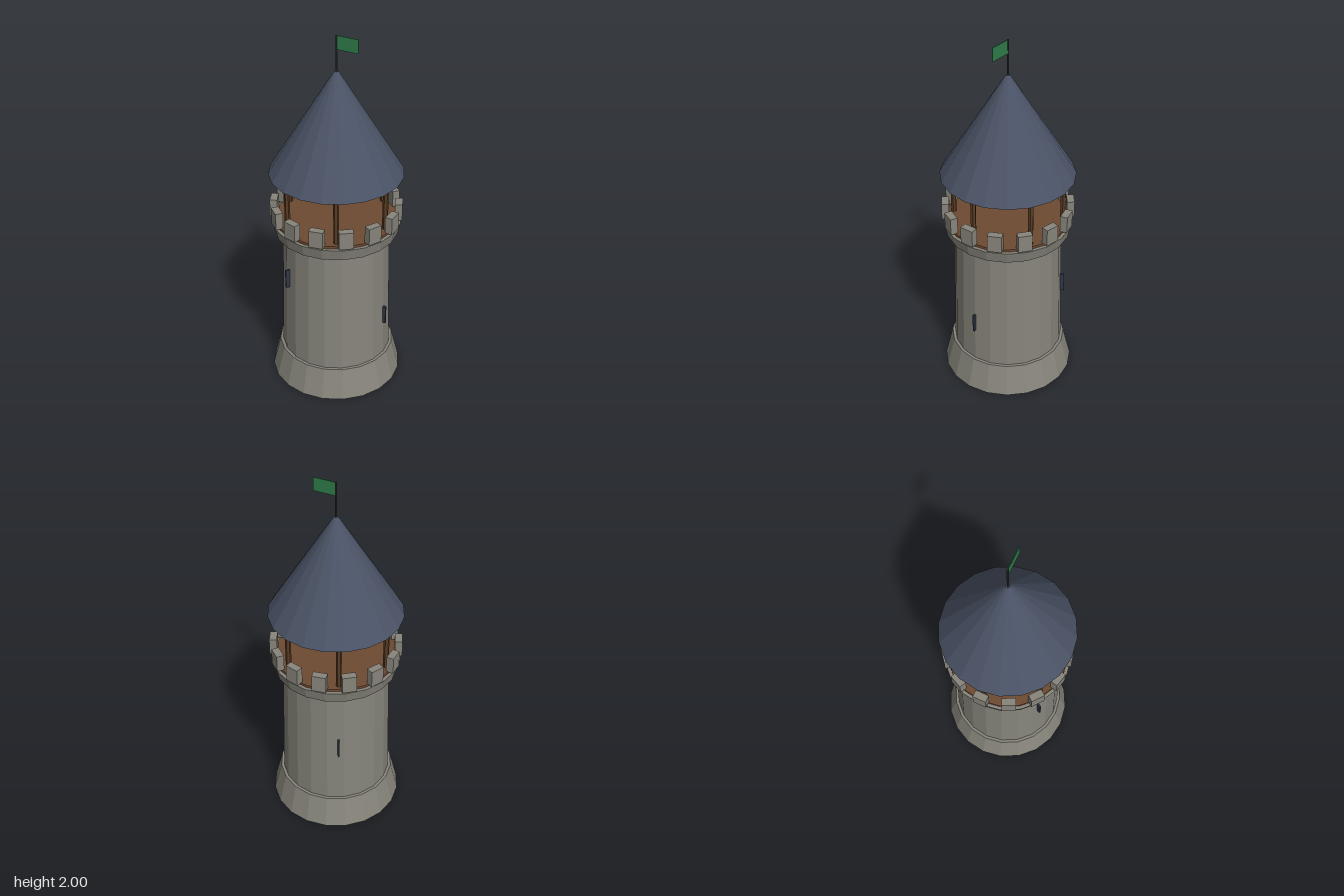
import * as THREE from 'three';

const SIDES = 20;

function mat(name, color) {
  const m = new THREE.MeshStandardMaterial({ color, flatShading: true });
  m.name = name;
  return m;
}

export function createModel() {
  const tower = new THREE.Group();
  tower.name = 'watchtower';

  const stone = mat('stone', 0x87857b);
  const slate = mat('roof slate', 0x4a5366);
  const plank = mat('floor planks', 0x6e4a32);
  const timber = mat('post timber', 0x5a3c24);
  const slot = mat('slot shadow', 0x31384a);
  const iron = mat('pole iron', 0x3a3632);
  const cloth = mat('flag cloth', 0x2f7d4b);

  function add(name, geometry, material, parent = tower) {
    const mesh = new THREE.Mesh(geometry, material);
    mesh.name = name;
    parent.add(mesh);
    return mesh;
  }

  // Upright tapered drum between two heights
  function drum(name, y0, y1, r0, r1, material, sides = SIDES) {
    const mesh = add(name, new THREE.CylinderGeometry(r1, r0, y1 - y0, sides), material);
    mesh.position.y = (y0 + y1) / 2;
    return mesh;
  }

  // Place count copies around the axis, local +x pointing outwards
  function ring(name, count, radius, y, geometry, material, rise = 0) {
    const group = new THREE.Group();
    group.name = name + 's';
    for (let i = 0; i < count; i++) {
      const a = (i / count) * Math.PI * 2;
      const mesh = add(name, geometry, material, group);
      mesh.position.set(Math.cos(a) * radius, y + i * rise, -Math.sin(a) * radius);
      mesh.rotation.y = a;
    }
    tower.add(group);
  }

  // Stone shaft
  drum('base', 0, 0.176, 0.368, 0.324, stone);
  drum('shaft', 0.17, 0.92, 0.308, 0.29, stone);
  drum('parapet', 0.912, 0.976, 0.336, 0.35, stone);

  // Lookout platform
  drum('floor', 0.97, 0.99, 0.332, 0.332, plank);
  ring('merlon', 14, 0.335, 1.035, new THREE.BoxGeometry(0.04, 0.095, 0.076), stone);
  ring('post', 6, 0.295, 1.122, new THREE.CylinderGeometry(0.015, 0.015, 0.27, 6), timber);

  // Arrow slots climbing around the shaft
  ring('arrowSlot', 3, 0.297, 0.432, new THREE.BoxGeometry(0.04, 0.11, 0.01), slot, 0.12);

  // Roof, pole and flag
  drum('roof', 1.254, 1.814, 0.36, 0.011, slate);
  drum('flagPole', 1.8, 2, 0.005, 0.005, iron, 8);
  const flag = add('flag', new THREE.BoxGeometry(0.12, 0.072, 0.004), cloth);
  flag.position.set(0.064, 1.963, 0);

  return tower;
}
